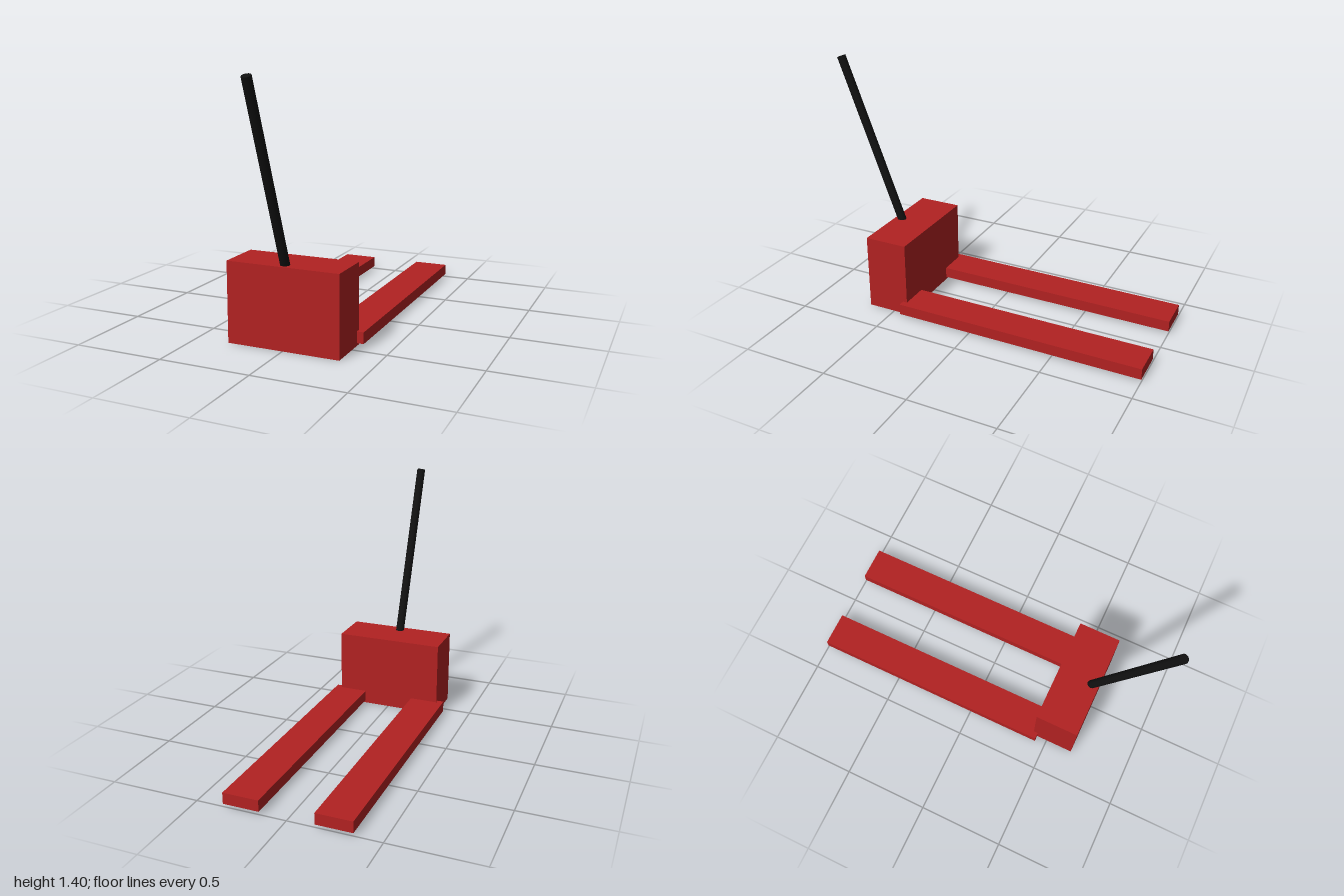
import * as THREE from 'three';

export function createModel() {
  const group = new THREE.Group();
  const red = new THREE.MeshStandardMaterial({ name: 'red paint', color: 0xb22222 });
  const black = new THREE.MeshStandardMaterial({ name: 'black handle', color: 0x111111 });

  function add(name, geometry, material, x, y, z) {
    const mesh = new THREE.Mesh(geometry, material);
    mesh.name = name;
    mesh.position.set(x, y, z);
    group.add(mesh);
    return mesh;
  }

  // Pump housing
  add('body', new THREE.BoxGeometry(0.625, 0.4375, 0.25), red, 0, 0.21875, 0.5365);

  // Pair of forks reaching backwards, slightly sunk into the housing
  for (const [name, side] of [['leftFork', 1], ['rightFork', -1]]) {
    add(name, new THREE.BoxGeometry(0.2, 0.0625, 1.4375), red, side * 0.25, 0.0465, -0.28125);
  }

  // Tilted steering handle, its foot inside the housing
  const top = new THREE.Vector3(0, 1.388, 0.9766);
  const tilt = 0.36;
  const length = 1.06;
  const axis = new THREE.Vector3(0, Math.cos(tilt), Math.sin(tilt));
  const middle = top.clone().addScaledVector(axis, -length / 2);
  const handle = add('handle', new THREE.CylinderGeometry(0.025, 0.025, length, 12), black, ...middle.toArray());
  handle.rotation.x = tilt;

  return group;
}
